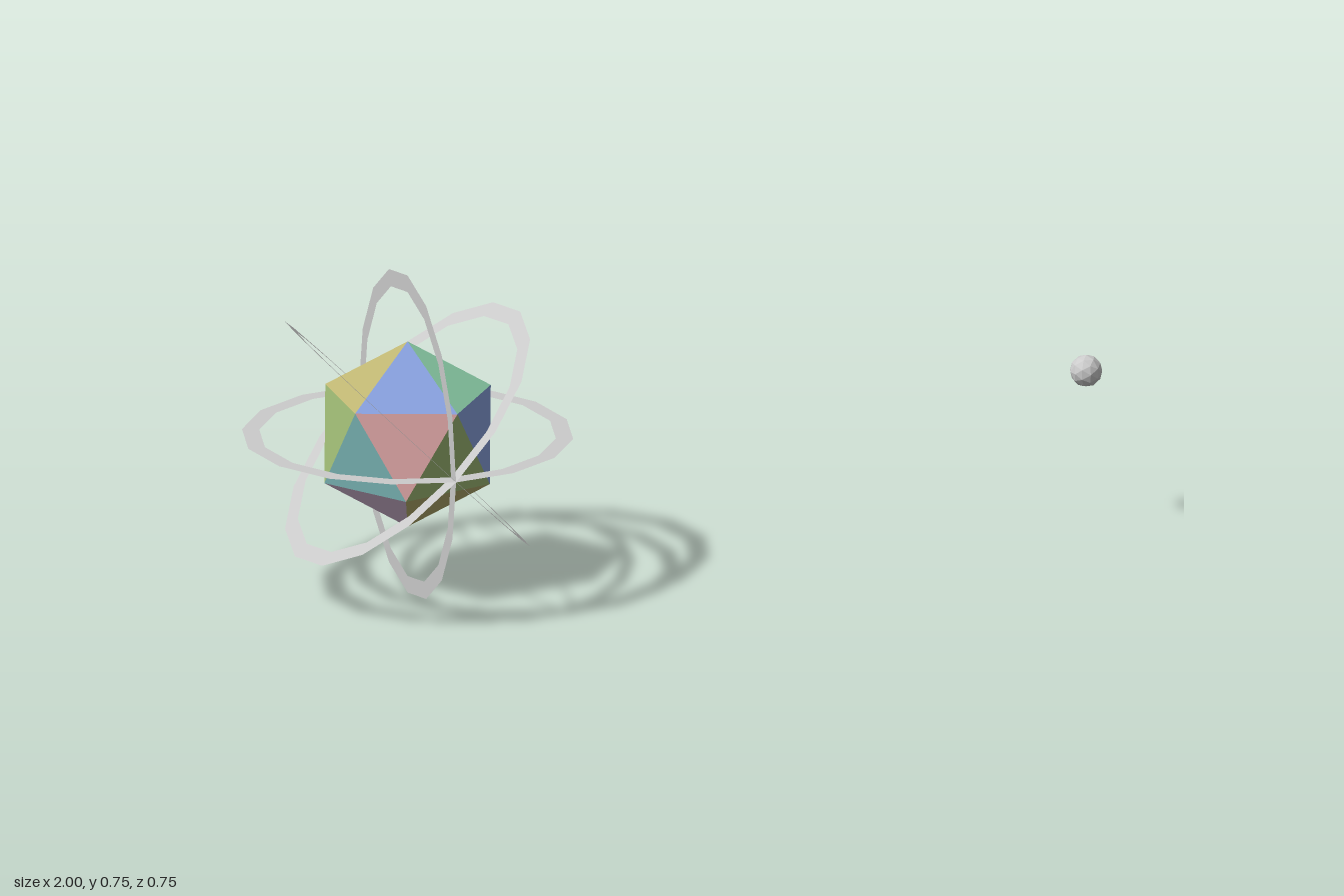
import * as THREE from 'three';

const CENTRE = [-0.627, 0.373, 0];

// Colour of each facet, by band, going round the vertical axis from +x towards +z
const COLOURS = { mint: 0x92d8b0, green: 0xa1be76, blue: 0x869edb, pink: 0xdaa3a3, yellow: 0xbfb672, teal: 0x7fbcbc, lilac: 0xdcc0dc };
const BANDS = {
  cap: ['mint', 'blue', 'yellow', 'lilac', 'green'],
  upperSide: ['blue', 'pink', 'green', 'green', 'mint'],
  lowerSide: ['green', 'green', 'teal', 'yellow', 'lilac'],
  base: ['yellow', 'lilac', 'green', 'mint', 'blue'],
};

function makeCore(radius) {
  const core = new THREE.Group();
  core.name = 'core';
  const h = radius / Math.sqrt(5), r = 2 * h;
  const corner = (step, y) => new THREE.Vector3(r * Math.cos(step * Math.PI / 5), y, r * Math.sin(step * Math.PI / 5));
  const U = k => corner(2 * k, h);
  const L = k => corner(2 * k + 1, -h);
  const top = new THREE.Vector3(0, radius, 0), bottom = new THREE.Vector3(0, -radius, 0);
  const triangle = {
    cap: k => [top, U(k + 1), U(k)],
    upperSide: k => [U(k), U(k + 1), L(k)],
    lowerSide: k => [L(k), L(k - 1), U(k)],
    base: k => [L(k), L(k + 1), bottom],
  };
  // One mesh for each colour
  for (const [colour, hex] of Object.entries(COLOURS)) {
    const points = [];
    for (const [band, colours] of Object.entries(BANDS))
      colours.forEach((c, k) => { if (c === colour) points.push(...triangle[band](k)); });
    const geometry = new THREE.BufferGeometry().setFromPoints(points);
    geometry.computeVertexNormals();
    const facets = new THREE.Mesh(geometry, new THREE.MeshStandardMaterial({ color: hex, flatShading: true }));
    facets.name = colour + 'Facets';
    core.add(facets);
  }
  return core;
}

export function createModel() {
  const model = new THREE.Group();
  model.name = 'ringedCoreWithMoon';

  // Faceted core
  const core = makeCore(0.218);
  core.position.set(...CENTRE);
  model.add(core);

  // Four flat rings fanned about the z axis
  const ringGeometry = new THREE.RingGeometry(0.334, 0.373, 16).rotateY(Math.PI / 2);
  const ringMaterial = new THREE.MeshStandardMaterial({ color: 0xcccccc, side: THREE.DoubleSide });
  const rings = new THREE.Group();
  rings.name = 'rings';
  rings.position.set(...CENTRE);
  for (let i = 0; i < 4; i++) {
    const ring = new THREE.Mesh(ringGeometry, ringMaterial);
    ring.name = 'ring' + (i + 1);
    ring.rotation.z = i * Math.PI / 4;
    rings.add(ring);
  }
  model.add(rings);

  // Small distant moon
  const moon = new THREE.Mesh(
    new THREE.IcosahedronGeometry(0.037, 1),
    new THREE.MeshStandardMaterial({ color: 0xcccccc, flatShading: true }));
  moon.name = 'moon';
  moon.position.set(0.963, 0.374, 0);
  model.add(moon);

  return model;
}
